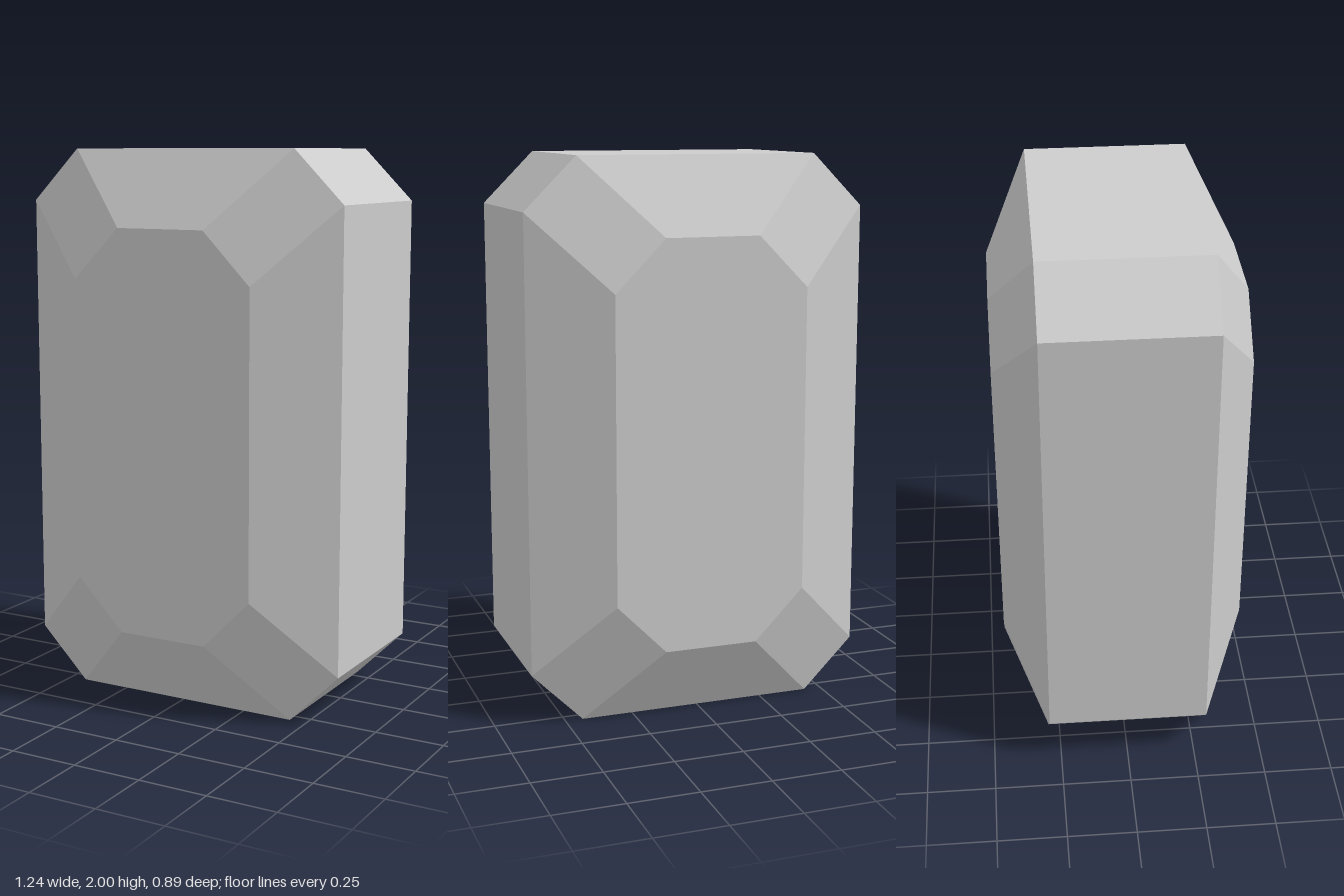
import * as THREE from 'three';

const gemGrey = new THREE.MeshStandardMaterial({ color: 0xcccccc, flatShading: true });
gemGrey.name = 'gemGrey';

// Octagon, counter-clockwise from +z: flat ends reach (endX, endY), flat sides reach (sideX, sideY)
function octagon(endX, endY, sideX, sideY, z) {
  return [
    [-endX, -endY], [endX, -endY], [sideX, -sideY], [sideX, sideY],
    [endX, endY], [-endX, endY], [-sideX, sideY], [-sideX, -sideY],
  ].map(([x, y]) => new THREE.Vector3(x, y + 1, z));
}

function facetMesh(name, points) {
  const geometry = new THREE.BufferGeometry().setFromPoints(points);
  geometry.computeVertexNormals();
  const mesh = new THREE.Mesh(geometry, gemGrey);
  mesh.name = name;
  return mesh;
}

// Ring of flat facets joining a rear octagon to a nearer one
function band(name, rear, near) {
  const points = [];
  rear.forEach((a, i) => {
    const j = (i + 1) % rear.length;
    points.push(a, rear[j], near[j], a, near[j], near[i]);
  });
  return facetMesh(name, points);
}

// Flat octagonal face
function table(name, ring) {
  const points = [];
  for (let i = 1; i < ring.length - 1; i++) points.push(ring[0], ring[i], ring[i + 1]);
  return facetMesh(name, points);
}

export function createModel() {
  const gem = new THREE.Group();
  gem.name = 'emeraldCutGem';

  const outer = (z) => octagon(0.436, 1, 0.622, 0.814, z);
  const inner = (z) => octagon(0.17, 0.728, 0.35, 0.545, z);
  const backTable = inner(-0.443), backRim = outer(-0.291);
  const frontRim = outer(0.291), frontTable = inner(0.443);

  gem.add(
    table('frontTable', frontTable),
    band('frontBevels', frontRim, frontTable),
    band('girdle', backRim, frontRim),
    band('backBevels', backTable, backRim),
    table('backTable', [...backTable].reverse()),
  );
  return gem;
}
